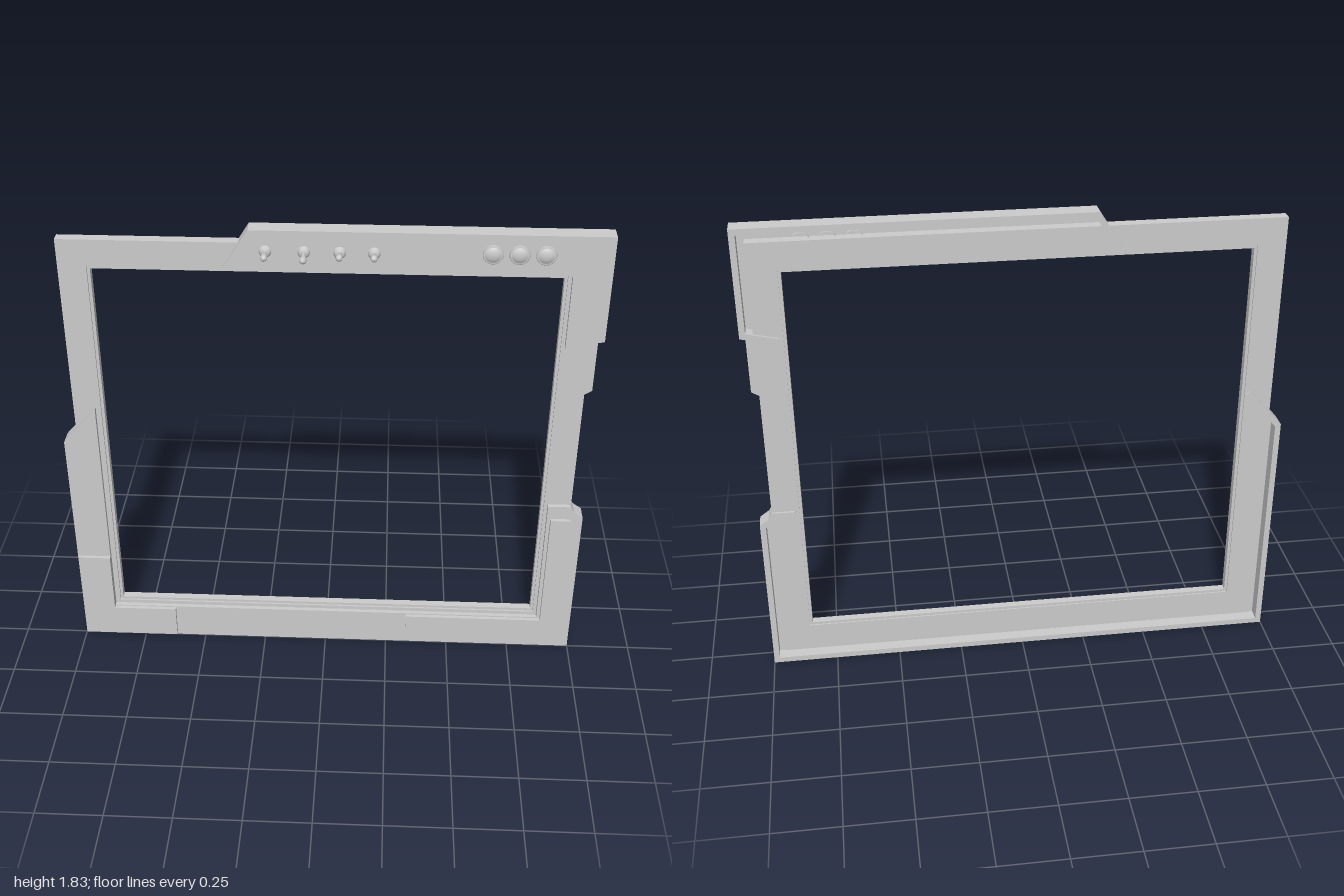
import * as THREE from 'three';

const grey = new THREE.MeshStandardMaterial({ color: 0xcccccc, side: THREE.DoubleSide });
const FRONT = 0, BACK = -0.067, SKIN = -0.017;

const toPoints = (list) => list.map(([x, y]) => new THREE.Vector2(x, y));
const rect = (x, y0, y1) => [[-x, y0], [x, y0], [x, y1], [-x, y1]];

function add(parent, name, geometry) {
  const mesh = new THREE.Mesh(geometry, grey);
  mesh.name = name;
  parent.add(mesh);
  return mesh;
}

// Flat plate with the given outline, from z0 to z1
function plate(outline, z0, z1, hole) {
  const shape = new THREE.Shape(toPoints(outline));
  if (hole) shape.holes.push(new THREE.Path(toPoints(hole)));
  const geometry = new THREE.ExtrudeGeometry(shape, { depth: z1 - z0, bevelEnabled: false });
  return geometry.translate(0, 0, z0);
}

// Mitred strip along the right-hand side of a path, used for the shell walls
function strip(path, t) {
  const pts = toPoints(path);
  const normal = (a, b) => {
    const d = b.clone().sub(a).normalize();
    return new THREE.Vector2(d.y, -d.x);
  };
  const inner = pts.map((p, i) => {
    const n0 = normal(pts[Math.max(i - 1, 0)], pts[Math.max(i, 1)]);
    const last = pts.length - 1;
    const n1 = normal(pts[Math.min(i, last - 1)], pts[Math.min(i + 1, last)]);
    const m = n0.clone().add(n1).normalize();
    const q = p.clone().addScaledVector(m, t / m.dot(n0));
    return [q.x, q.y];
  });
  return [...path, ...inner.reverse()];
}

// Cover open at the back: a front skin and a wall along its outer edge
function shell(parent, name, outer, inner) {
  const group = new THREE.Group();
  group.name = name;
  add(group, name + 'Skin', plate([...outer, ...inner], SKIN, FRONT));
  add(group, name + 'Wall', plate(strip(outer, 0.022), BACK, SKIN));
  parent.add(group);
}

export function createModel() {
  const model = new THREE.Group();
  model.name = 'panelFrame';

  // Base frame with a thinner lip round the opening
  add(model, 'baseFrame', plate(rect(0.952, 0.05, 1.775), -0.058, SKIN, rect(0.848, 0.162, 1.673)));
  add(model, 'innerLip', plate(rect(0.85, 0.16, 1.675), -0.053, -0.024, rect(0.837, 0.173, 1.662)));

  // Upper cover, wrapping the top right corner
  shell(model, 'upperCover',
    [[-0.365, 1.68], [-0.27, 1.83], [1, 1.83], [1, 1.425], [0.862, 1.395]],
    [[0.862, 1.68]]);

  // Lower cover, running up both sides
  shell(model, 'lowerCover',
    [[0.862, 0.7], [0.95, 0.7], [0.965, 0.675], [1, 0.65], [1, 0], [-1, 0], [-1, 0.94], [-0.868, 1.09]],
    [[-0.868, 0.147], [0.862, 0.147]]);

  // Raised corner plates
  add(model, 'rightCornerPlate', plate([
    [-0.995, 0.01], [-0.617, 0.01], [-0.617, 0.143], [-0.868, 0.143], [-0.868, 0.398], [-0.995, 0.398],
  ], -0.01, 0.015));
  add(model, 'leftCornerPlate', plate([
    [0.33, 0.055], [0.953, 0.05], [0.953, 0.643], [0.876, 0.643], [0.876, 0.142], [0.33, 0.142],
  ], -0.01, 0.015));

  // Button bar on the side
  add(model, 'sideButton', plate(
    [[0.94, 1.19], [0.957, 1.195], [0.98, 1.21], [0.98, 1.415], [0.94, 1.415]], -0.055, -0.022));

  // Toggle switches: turned collar and flared lever
  const collar = toPoints([[0.022, -0.005], [0.022, 0.005], [0.014, 0.014], [0, 0.014]]);
  const lever = toPoints([[0.006, 0], [0.006, 0.025], [0.012, 0.05], [0.012, 0.062], [0.008, 0.068], [0, 0.07]]);
  const tilts = [0, 0.12, -0.1, -0.1];
  [-0.21, -0.075, 0.05, 0.17].forEach((x, i) => {
    const toggle = new THREE.Group();
    toggle.name = 'toggleSwitch' + (i + 1);
    add(toggle, 'collar', new THREE.LatheGeometry(collar, 16));
    add(toggle, 'lever', new THREE.LatheGeometry(lever, 12)).rotation.x = tilts[i];
    toggle.position.set(x, 1.753, 0);
    toggle.rotation.x = Math.PI / 2;
    model.add(toggle);
  });

  // Domed push buttons with a rim
  const dome = toPoints([
    [0.036, -0.03], [0.036, 0.003], [0.033, 0.006], [0.029, 0.004],
    [0.027, 0.007], [0.018, 0.011], [0.009, 0.013], [0, 0.0135],
  ]);
  [0.58, 0.672, 0.764].forEach((x, i) => {
    const button = add(model, 'pushButton' + (i + 1), new THREE.LatheGeometry(dome, 24));
    button.position.set(x, 1.757, 0);
    button.rotation.x = Math.PI / 2;
  });

  return model;
}
